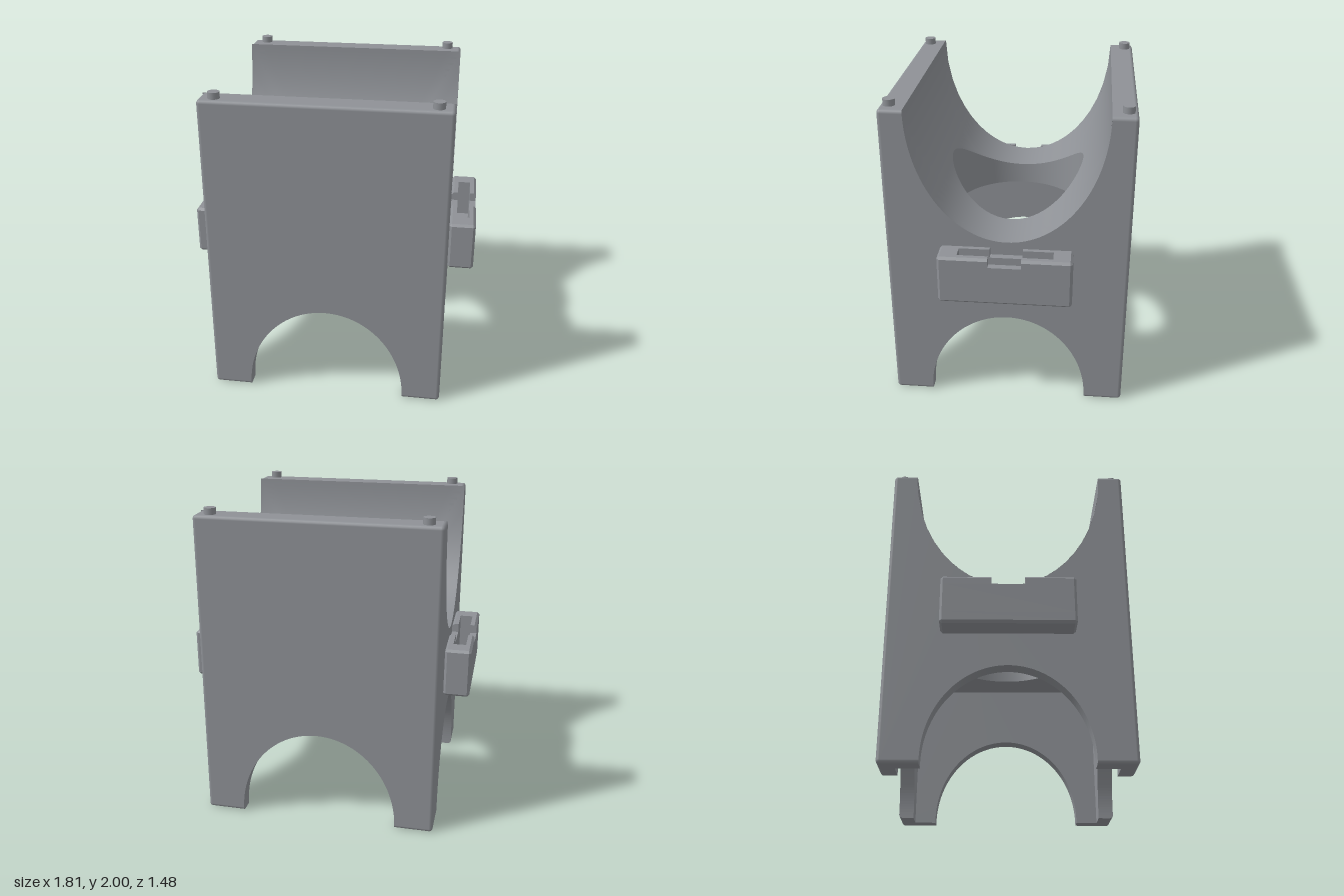
import * as THREE from 'three';

const W = 0.742;            // half width of the body
const R = 0.022;            // edge rounding
const C = W - R;            // flat part of each outer face
const T = 0.1;              // wall thickness
const TOP = 1.96, CEILING = 1.0;
const SADDLE_Z = 0.592, SADDLE_H = 0.82, HOLE = 0.435;

const grey = new THREE.MeshStandardMaterial({ color: 0x8e9196, side: THREE.DoubleSide });
grey.name = 'grey plastic';

export function createModel() {
  const model = new THREE.Group();
  model.name = 'cradleStand';

  const add = (name, geometry, x = 0, y = 0, z = 0, parent = model) => {
    const mesh = new THREE.Mesh(geometry, grey);
    mesh.name = name;
    mesh.position.set(x, y, z);
    parent.add(mesh);
    return mesh;
  };
  const extrude = (shape, depth) =>
    new THREE.ExtrudeGeometry(shape, { depth, bevelEnabled: false, curveSegments: 48 });
  const polygon = (pts) => new THREE.Shape(pts.map((p) => new THREE.Vector2(...p)));
  // Plan shape raised into a slab from y0 upwards
  const slab = (shape, y0, height) => extrude(shape, height).rotateX(-Math.PI / 2).translate(0, y0, 0);

  // Walls with an arch at the foot, and a saddle cut in the two sides
  const wallShape = (saddle) => {
    const s = new THREE.Shape();
    s.moveTo(-C, R);
    s.lineTo(-0.5, R);
    s.absellipse(0, R, 0.5, 0.6 - R, Math.PI, 0, true);
    s.lineTo(C, R);
    s.lineTo(C, TOP - R);
    if (saddle) {
      for (let i = 0; i <= 64; i++) {
        const a = Math.PI / 2 - (i / 64) * Math.PI;
        s.lineTo(SADDLE_Z * Math.sin(a), Math.min(TOP - R, TOP - SADDLE_H * Math.cos(a)));
      }
    }
    s.lineTo(-C, TOP - R);
    s.closePath();
    return s;
  };
  const frontWall = extrude(wallShape(false), T);
  const sideWall = extrude(wallShape(true), T).rotateY(Math.PI / 2);
  add('frontWall', frontWall, 0, 0, W - T);
  add('backWall', frontWall, 0, 0, -W);
  add('leftWall', sideWall, W - T);
  add('rightWall', sideWall, -W);

  // Rounded edges
  const rod = (a, b) => {
    const p = new THREE.Vector3(...a), q = new THREE.Vector3(...b);
    const mesh = add('roundedEdge', new THREE.CylinderGeometry(R, R, p.distanceTo(q), 16));
    mesh.position.copy(p).lerp(q, 0.5);
    mesh.quaternion.setFromUnitVectors(new THREE.Vector3(0, 1, 0), q.sub(p).normalize());
  };
  const ball = new THREE.SphereGeometry(R, 16, 12);
  const lo = R, hi = TOP - R;
  for (const sz of [-1, 1]) {
    rod([-C, hi, sz * C], [C, hi, sz * C]);
    add('topRail', new THREE.BoxGeometry(2 * C, 0.03, C - SADDLE_Z), 0, TOP - 0.015, sz * (C + SADDLE_Z) / 2);
    for (const sx of [-1, 1]) {
      rod([sx * C, lo, sz * C], [sx * C, hi, sz * C]);
      rod([sx * C, hi, sz * SADDLE_Z], [sx * C, hi, sz * C]);
      rod([sx * 0.5, lo, sz * C], [sx * C, lo, sz * C]);
      rod([sx * C, lo, sz * 0.5], [sx * C, lo, sz * C]);
      add('roundedCorner', ball, sx * C, hi, sz * C);
      add('roundedCorner', ball, sx * C, lo, sz * C);
      // Angle-shaped sole under each leg
      const n = W - T;
      const sole = [[0.5, n], [n, n], [n, 0.5], [C, 0.5], [C, C], [0.5, C]];
      add('footSole', slab(polygon(sole.map(([x, z]) => [sx * x, sz * z])), 0, R));
      // Locating pegs
      add('peg', new THREE.CylinderGeometry(0.036, 0.036, 0.06, 16), sx * 0.648, 1.97, sz * 0.685);
    }
  }

  // Lofted surface: rows of closed loops
  const N = 96;
  const loft = (rows, pointAt) => {
    const pos = [], idx = [];
    for (let j = 0; j <= rows; j++) {
      for (let i = 0; i < N; i++) pos.push(...pointAt((i / N) * 2 * Math.PI, j / rows));
    }
    for (let j = 0; j < rows; j++) {
      for (let i = 0; i < N; i++) {
        const k = (i + 1) % N, a = j * N + i, b = j * N + k, c = a + N, d = b + N;
        idx.push(a, b, c, b, d, c);
      }
    }
    const g = new THREE.BufferGeometry();
    g.setAttribute('position', new THREE.Float32BufferAttribute(pos, 3));
    g.setIndex(idx);
    g.computeVertexNormals();
    return g;
  };
  const lerp = THREE.MathUtils.lerp;

  // Saddle trough, from the round hole out to its straight edges
  add('saddle', loft(20, (a, t) => {
    const c = Math.cos(a), s = Math.sin(a), m = Math.max(Math.abs(c), Math.abs(s));
    const x = lerp(HOLE * c, (W * c) / m, t);
    const angle = lerp(Math.asin((HOLE * s) / SADDLE_Z), (Math.PI / 2) * (s / m), t);
    return [x, TOP - SADDLE_H * Math.cos(angle), SADDLE_Z * Math.sin(angle)];
  }));

  // Wall of the vertical hole
  add('holeWall', loft(1, (a, t) => {
    const z = HOLE * Math.sin(a);
    const y = TOP - SADDLE_H * Math.sqrt(1 - (z / SADDLE_Z) ** 2);
    return [HOLE * Math.cos(a), lerp(CEILING, y, t), z];
  }));

  // Ceiling of the hollow underside
  const n = W - T + 0.01;
  const ceiling = polygon([[-n, -n], [n, -n], [n, n], [-n, n]]);
  ceiling.holes.push(new THREE.Path().absarc(0, 0, HOLE, 0, Math.PI * 2));
  add('ceiling', new THREE.ShapeGeometry(ceiling, 48).rotateX(Math.PI / 2), 0, CEILING);

  // Side holders: chamfered blocks with a slot and a notch
  const HX = 0.082, HZ = 0.405, K = 0.015, SX = 0.04, SZ = 0.287, NZ = 0.1;
  const outline = () => polygon([[-HX + K, -HZ], [HX - K, -HZ], [HX, -HZ + K], [HX, HZ - K],
    [HX - K, HZ], [-HX + K, HZ], [-HX, HZ - K], [-HX, -HZ + K]]);
  const slotted = outline();
  slotted.holes.push(new THREE.Path([[-SX, -SZ], [-SX, SZ], [SX, SZ], [SX, -SZ]].map((p) => new THREE.Vector2(...p))));
  const prong = (s) => polygon([[-HX, NZ], [-SX, NZ], [-SX, SZ], [SX, SZ], [SX, NZ], [HX, NZ],
    [HX, HZ - K], [HX - K, HZ], [-HX + K, HZ], [-HX, HZ - K]].map(([x, z]) => [x, s * z]));
  // Pull the vertices at one height inwards to form the chamfer
  const taper = (g, y) => {
    const p = g.attributes.position;
    const clamp = THREE.MathUtils.clamp;
    for (let i = 0; i < p.count; i++) {
      if (Math.abs(p.getY(i) - y) > 1e-4) continue;
      p.setX(i, clamp(p.getX(i), -HX + K, HX - K));
      p.setZ(i, clamp(p.getZ(i), -HZ + K, HZ - K));
    }
    g.computeVertexNormals();
    return g;
  };
  for (const side of [-1, 1]) {
    const holder = new THREE.Group();
    holder.name = side > 0 ? 'leftHolder' : 'rightHolder';
    holder.position.x = side * 0.824;
    model.add(holder);
    const put = (name, g) => add(name, g, 0, 0, 0, holder);
    put('holderBottom', taper(slab(outline(), 0.8, K), 0.8));
    put('holderBase', slab(outline(), 0.8 + K, 0.055));
    put('holderBody', slab(slotted, 0.87, 0.185));
    for (const s of [-1, 1]) {
      put('holderEnd', slab(prong(s), 1.055, 0.04));
      put('holderEndTop', taper(slab(prong(s), 1.095, K), 1.11));
    }
  }
  return model;
}
